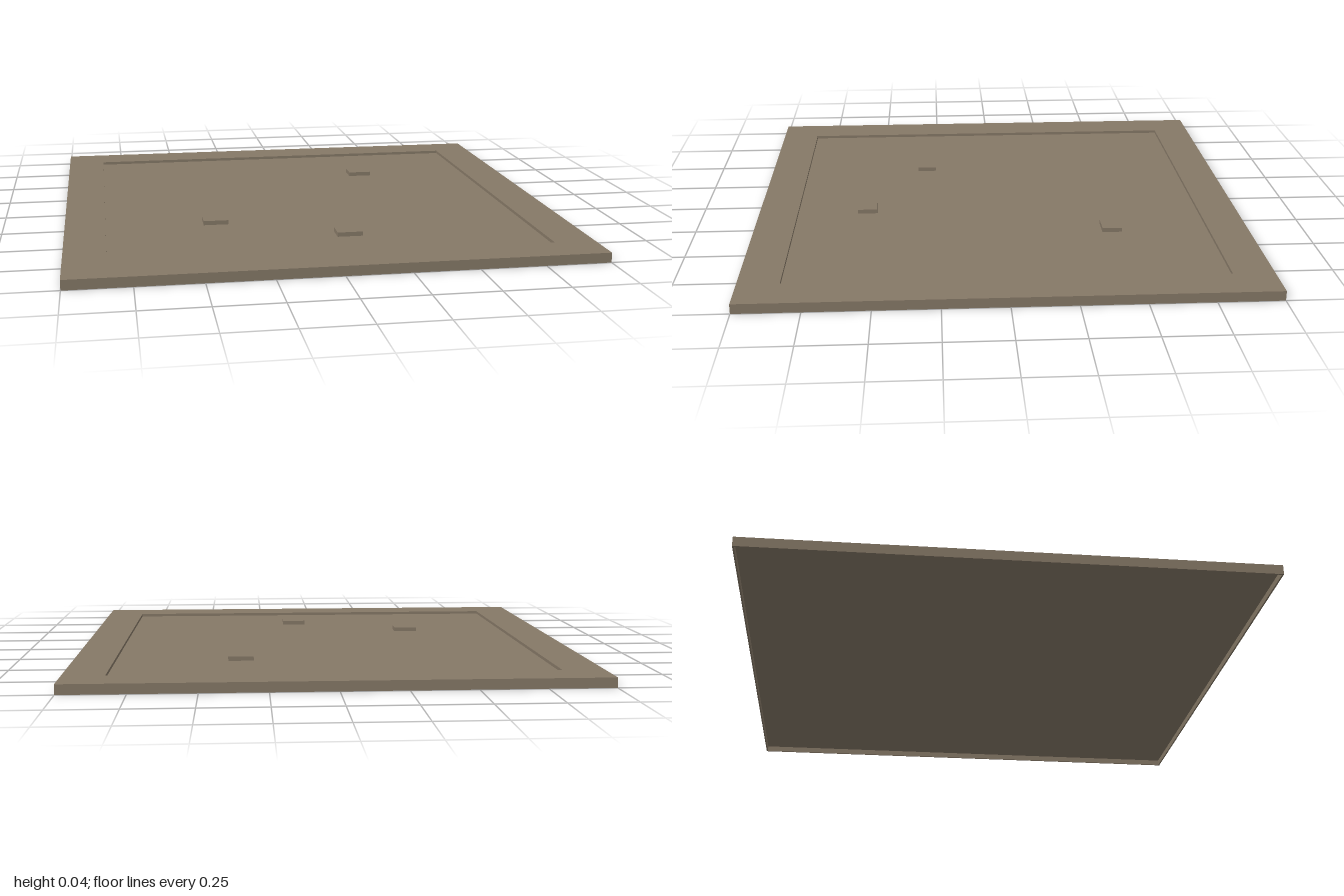
import * as THREE from 'three';

const HEIGHT = 0.038;   // top of the rim
const FLOOR = 0.026;    // sunken floor and underside level
const INNER = 0.84;     // half width of the sunken panel
const WALL = 0.006;     // thickness of the skirt

const stone = new THREE.MeshStandardMaterial({ color: 0x857866 });
stone.name = 'stone';

// Square frame lying flat, from y0 up to y1
function frame(name, outer, inner, y0, y1) {
  const square = (Type, h) => new Type([
    new THREE.Vector2(-h, -h), new THREE.Vector2(h, -h),
    new THREE.Vector2(h, h), new THREE.Vector2(-h, h),
  ]);
  const shape = square(THREE.Shape, outer);
  shape.holes.push(square(THREE.Path, inner));
  const geometry = new THREE.ExtrudeGeometry(shape, { depth: y1 - y0, bevelEnabled: false });
  geometry.rotateX(-Math.PI / 2).translate(0, y0, 0);
  const mesh = new THREE.Mesh(geometry, stone);
  mesh.name = name;
  return mesh;
}

function box(name, x, z, w, d, y0, y1) {
  const mesh = new THREE.Mesh(new THREE.BoxGeometry(w, y1 - y0, d), stone);
  mesh.position.set(x, (y0 + y1) / 2, z);
  mesh.name = name;
  return mesh;
}

export function createModel() {
  const group = new THREE.Group();
  group.name = 'floorSlab';

  // Raised border, thin skirt below it and the sunken floor
  group.add(frame('rim', 1, INNER, FLOOR, HEIGHT));
  group.add(frame('skirt', 1, 1 - WALL, 0, FLOOR));
  group.add(box('floor', 0, 0, 2 * (1 - WALL), 2 * (1 - WALL), FLOOR - 0.002, FLOOR));

  // Small loose blocks on the floor
  for (const [x, z] of [[0.35, -0.45], [-0.4, 0.3], [0.1, 0.55]]) {
    group.add(box('block', x, z, 0.1, 0.08, FLOOR, 0.043));
  }
  return group;
}
